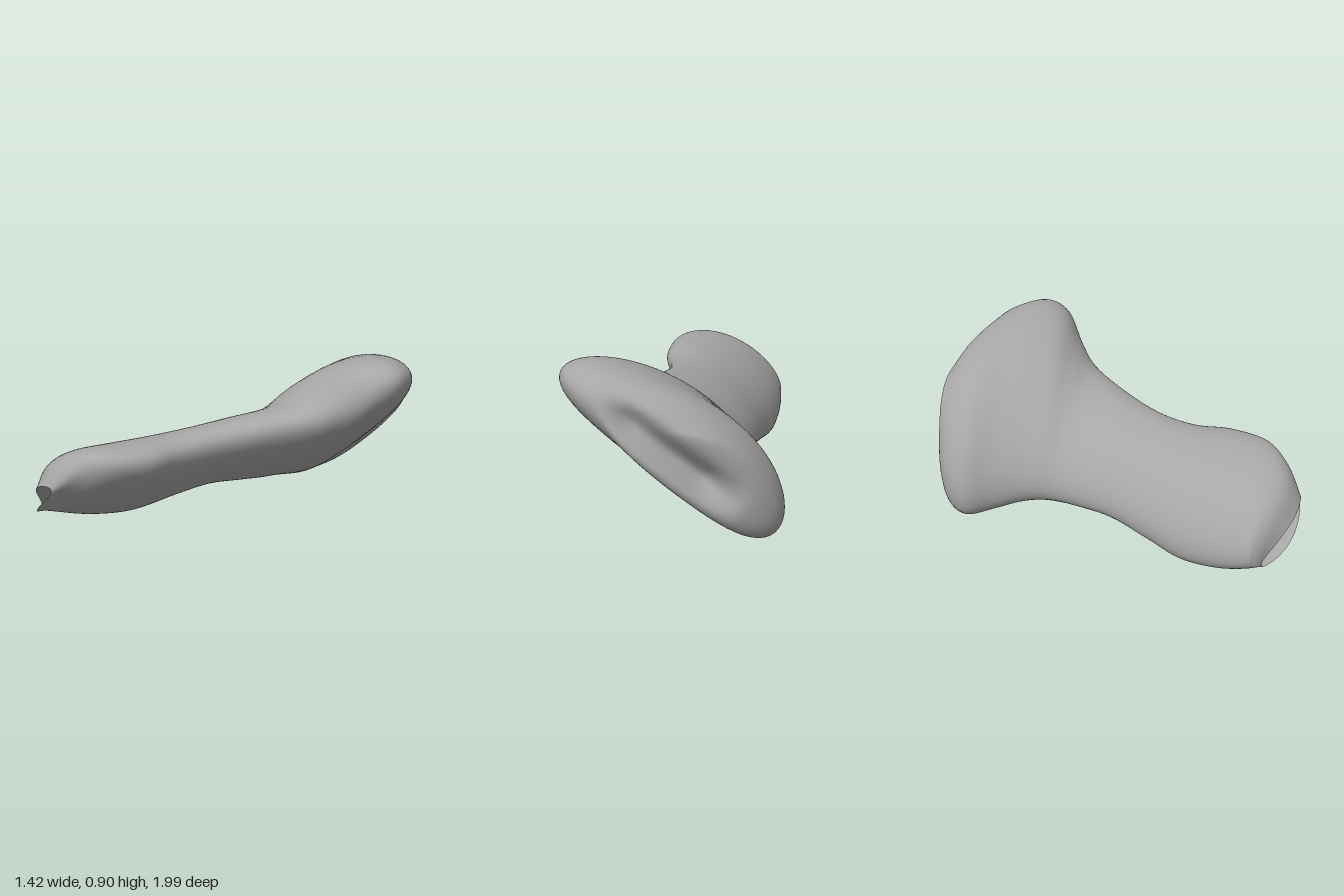
import * as THREE from 'three';

const SEGMENTS = 64;
const { smoothstep, clamp } = THREE.MathUtils;

// Lofts tilted oval rings. Each section is
// [z, xMin, xMax, yMin, yMax, tilt correlation, slant of z across the width]
function loft(sections, stepsPer, shape = p => p) {
  const columns = sections[0].map((_, k) =>
    new THREE.SplineCurve(sections.map((s, i) => new THREE.Vector2(i, s[k]))));
  const rings = (sections.length - 1) * stepsPer;
  const positions = [], index = [];
  for (let i = 0; i <= rings; i++) {
    const [z, x0, x1, y0, y1, tilt, slant] = columns.map(c => c.getPoint(i / rings).y);
    const phase = Math.acos(clamp(tilt, -1, 1));
    // the ovals arch towards the upper side, most strongly in the head
    const arch = (x1 - x0) * (0.045 + 0.045 * smoothstep(-z, 0.35, 0.8));
    // the foot rounds off towards both ends of its width
    const bow = 0.055 * smoothstep(z, 0.7, 0.92);
    for (let j = 0; j < SEGMENTS; j++) {
      const t = (j / SEGMENTS) * Math.PI * 2;
      const lift = arch * Math.sin(t - phase / 2) ** 2;
      const p = shape(new THREE.Vector3(
        (x0 + x1) / 2 + (x1 - x0) / 2 * Math.cos(t) - 0.6 * lift,
        (y0 + y1) / 2 + (y1 - y0) / 2 * Math.cos(t - phase) + 0.75 * lift,
        z + slant * Math.cos(t) - bow * Math.cos(t) ** 2));
      positions.push(p.x, p.y, p.z);
      if (i < rings) {
        const a = i * SEGMENTS + j, b = i * SEGMENTS + (j + 1) % SEGMENTS;
        const c = a + SEGMENTS, d = b + SEGMENTS;
        index.push(a, c, b, b, c, d);
      }
    }
  }
  const geometry = new THREE.BufferGeometry();
  geometry.setAttribute('position', new THREE.Float32BufferAttribute(positions, 3));
  geometry.setIndex(index);
  geometry.computeVertexNormals();
  return geometry;
}

// Presses a long groove between the two lips of the head
function pressGroove(p) {
  const along = (p.x - 0.15) * 0.77 + (p.y - 0.45) * 0.64;
  const across = -(p.x - 0.15) * 0.64 + (p.y - 0.45) * 0.77;
  const back = smoothstep(-p.z, 0.55, 0.85);
  const fade = 1 - smoothstep(Math.abs(along - 0.1), 0.2, 0.48);
  p.z += 0.13 * back * fade * Math.exp(-(((across - 0.02) / 0.085) ** 2));
  return p;
}

export function createModel() {
  const bone = new THREE.MeshStandardMaterial({ color: 0xa6a6a6, side: THREE.DoubleSide });
  bone.name = 'bone grey';
  const model = new THREE.Group();
  model.name = 'bone';
  const add = (name, geometry) => {
    const mesh = new THREE.Mesh(geometry, bone);
    mesh.name = name;
    model.add(mesh);
  };

  // Rounded foot, flat shaft and flared head in one smooth body
  const rim = [0.965, -0.67, -0.34, 0.08, 0.33, 0.88, 0.085];
  add('boneBody', loft([
    rim,
    [0.905, -0.70, -0.22, 0.08, 0.46, 0.77, 0.06],
    [0.80, -0.71, -0.09, 0.06, 0.52, 0.7, 0.03],
    [0.60, -0.675, 0.01, 0.015, 0.53, 0.67, 0],
    [0.40, -0.60, 0.02, 0.0, 0.53, 0.67, 0],
    [0.20, -0.50, 0.08, 0.05, 0.55, 0.69, 0],
    [0.00, -0.41, 0.21, 0.10, 0.59, 0.7, 0],
    [-0.20, -0.335, 0.38, 0.10, 0.645, 0.72, 0],
    [-0.30, -0.305, 0.50, 0.095, 0.73, 0.74, 0],
    [-0.40, -0.30, 0.65, 0.09, 0.85, 0.75, 0],
    [-0.52, -0.305, 0.71, 0.065, 0.895, 0.75, 0],
    [-0.66, -0.335, 0.67, 0.025, 0.88, 0.75, 0],
    [-0.80, -0.38, 0.57, 0.0, 0.83, 0.73, 0],
    [-0.90, -0.335, 0.47, 0.03, 0.76, 0.7, 0],
    [-0.965, -0.24, 0.31, 0.13, 0.68, 0.66, 0],
    [-0.995, -0.12, 0.14, 0.30, 0.62, 0.63, 0],
    [-1.0, 0.0, 0.001, 0.46, 0.461, 0.63, 0],
  ], 6, pressGroove));

  // Narrow hollow opening into the tip of the foot
  add('marrowHollow', loft([
    rim,
    [0.925, -0.63, -0.37, 0.10, 0.31, 0.88, 0.06],
    [0.85, -0.59, -0.41, 0.13, 0.28, 0.87, 0.03],
    [0.81, -0.50, -0.499, 0.21, 0.211, 0.87, 0],
  ], 4));

  return model;
}
